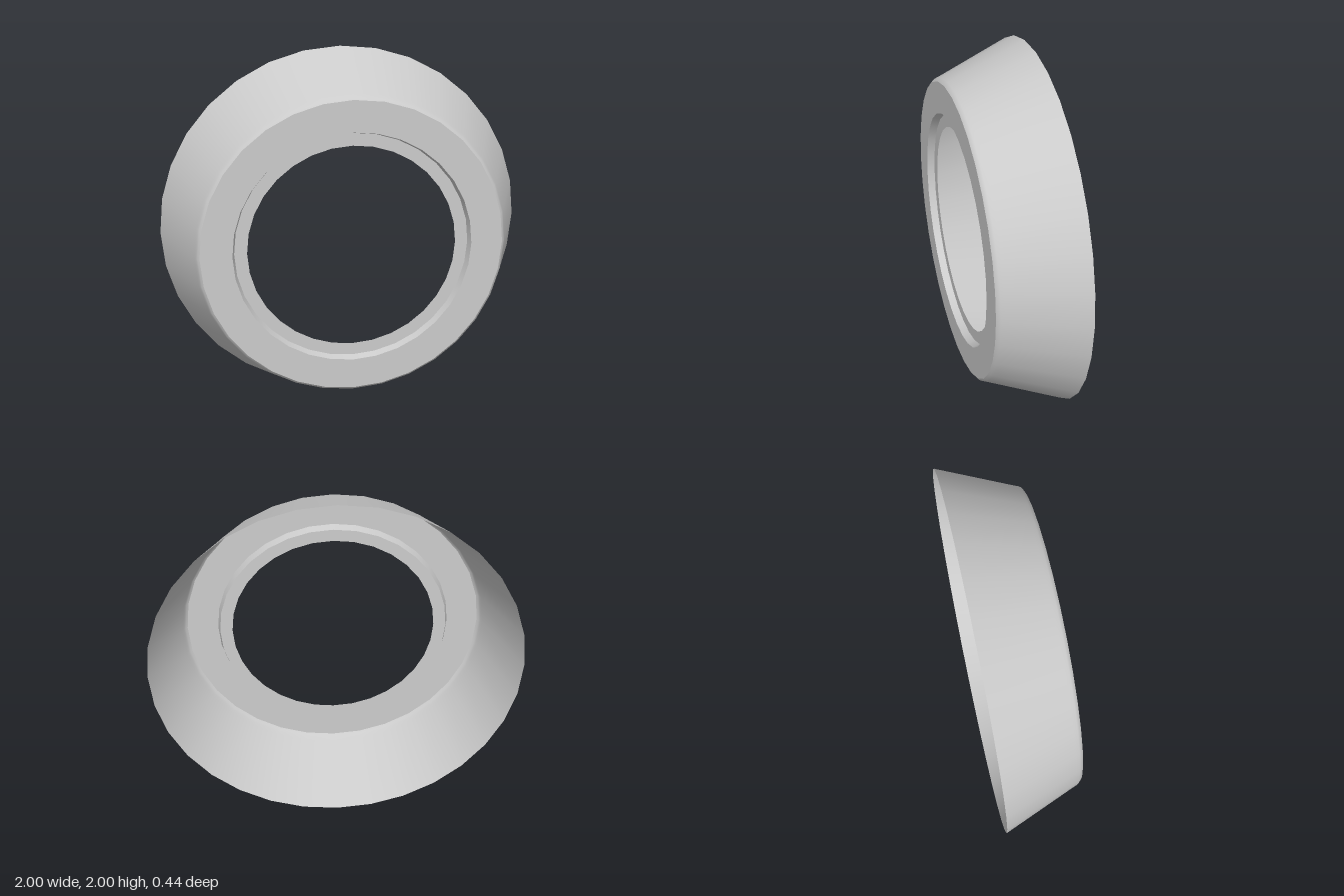
import * as THREE from 'three';

const SIDES = 32;

// Each section is a list of [radius, z] points, running from the back rim to the inner hole.
const SECTIONS = {
  taperedWall: [[1, -0.22], [0.835, 0.18], [0.828, 0.2], [0.82, 0.212], [0.81, 0.22]],
  frontFace: [[0.81, 0.22], [0.64, 0.22]],
  recessStep: [[0.64, 0.22], [0.628, 0.18]],
  innerLip: [[0.628, 0.18], [0.56, 0.18]],
};

export function createModel() {
  const model = new THREE.Group();
  model.name = 'taperedRing';

  // Thin sheet, open at the back
  const material = new THREE.MeshStandardMaterial({ color: 0xcccccc, side: THREE.DoubleSide });

  // Separate lathes keep the edges between sections sharp
  for (const [name, points] of Object.entries(SECTIONS)) {
    const profile = points.map(([r, z]) => new THREE.Vector2(r, z));
    const geometry = new THREE.LatheGeometry(profile, SIDES);
    geometry.rotateX(Math.PI / 2); // turn the axis to face +z
    geometry.translate(0, 1, 0);
    const mesh = new THREE.Mesh(geometry, material);
    mesh.name = name;
    model.add(mesh);
  }
  return model;
}
